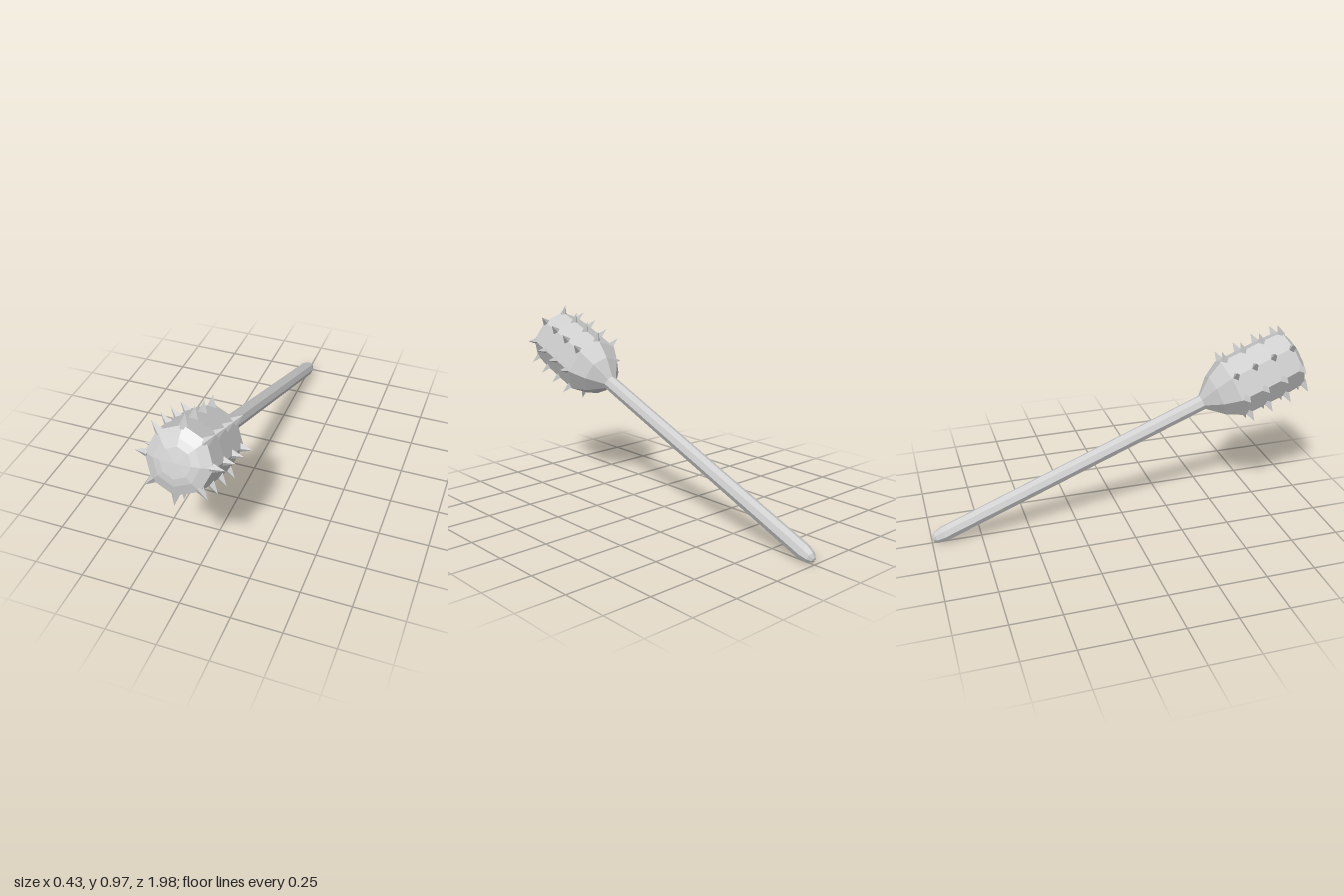
import * as THREE from 'three';

const SIDES = 8;

export function createModel() {
  const model = new THREE.Group();
  model.name = 'spikedClub';
  const material = new THREE.MeshStandardMaterial({ color: 0xcccccc, flatShading: true });

  // The club is built upright along y, then tilted forward as a whole
  const club = new THREE.Group();
  club.name = 'club';
  club.rotation.x = Math.acos(0.371);
  club.position.y = 0.425;
  model.add(club);

  function turned(name, profile) {
    const points = profile.map(([r, y]) => new THREE.Vector2(r, y));
    const mesh = new THREE.Mesh(new THREE.LatheGeometry(points, SIDES), material);
    mesh.name = name;
    club.add(mesh);
  }

  // Octagonal handle with a blunt pointed end
  turned('handle', [
    [0, -1.076], [0.014, -1.071], [0.03, -1.052], [0.04, -1.01], [0.04, 0.48],
  ]);

  // Barrel-shaped head with a tapered neck and shallow dome
  turned('head', [
    [0, 0.455], [0.035, 0.46], [0.115, 0.545], [0.163, 0.63], [0.163, 0.87],
    [0.157, 0.982], [0.108, 1.008], [0.072, 1.018], [0, 1.022],
  ]);

  // Four rings of pyramid spikes along the eight ridges
  const spikeGeometry = new THREE.ConeGeometry(0.024, 0.065, 4);
  spikeGeometry.rotateZ(-Math.PI / 2);
  const spikes = new THREE.Group();
  spikes.name = 'spikes';
  club.add(spikes);
  const rings = [[0.655, 0.181], [0.762, 0.181], [0.868, 0.181], [0.974, 0.173]];
  for (const [y, radius] of rings) {
    for (let i = 0; i < SIDES; i++) {
      const angle = (i / SIDES) * Math.PI * 2;
      const spike = new THREE.Mesh(spikeGeometry, material);
      spike.name = 'spike';
      spike.position.set(Math.cos(angle) * radius, y, -Math.sin(angle) * radius);
      spike.rotation.y = angle;
      spikes.add(spike);
    }
  }

  return model;
}
